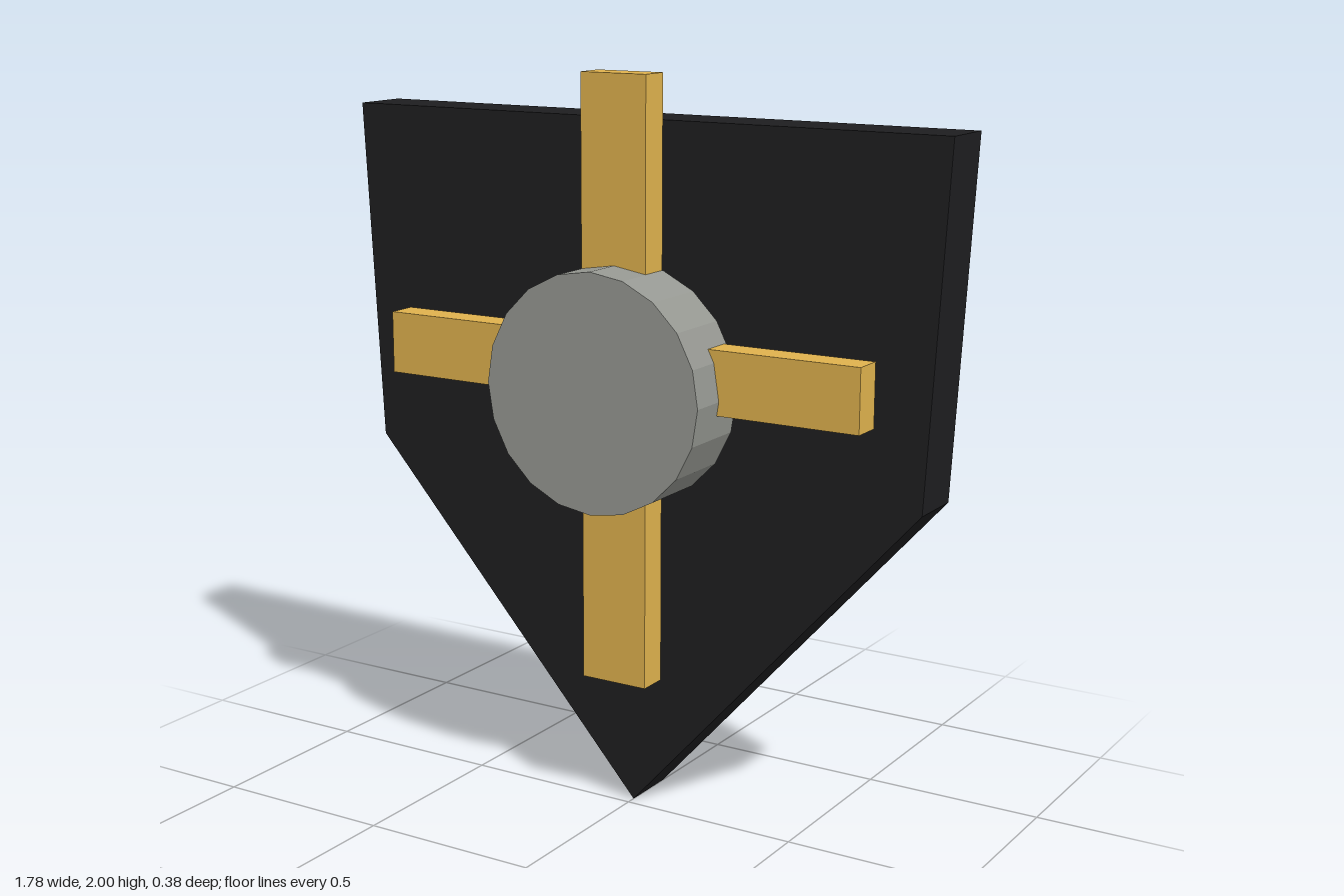
import * as THREE from 'three';

export function createModel() {
  const group = new THREE.Group();
  const add = (name, geometry, color, x, y, z) => {
    const material = new THREE.MeshStandardMaterial({ color, flatShading: true });
    const mesh = new THREE.Mesh(geometry, material);
    mesh.name = name;
    mesh.position.set(x, y, z);
    group.add(mesh);
    return mesh;
  };
  const black = 0x1e1e20, gold = 0xdfb24d, grey = 0x969892;

  // Five-sided backing plate, pointed at the bottom
  const outline = new THREE.Shape([
    [0, 0], [0.84, 0.94], [0.89, 1.88], [-0.89, 1.88], [-0.84, 0.94],
  ].map(([x, y]) => new THREE.Vector2(x, y)));
  const plate = new THREE.ExtrudeGeometry(outline, { depth: 0.16, bevelEnabled: false });
  add('backPlate', plate, black, 0, 0, -0.187);

  // Crossed bars running through the hub
  add('verticalBar', new THREE.BoxGeometry(0.195, 1.627, 0.083), gold, -0.002, 1.187, 0.03);
  add('horizontalBar', new THREE.BoxGeometry(1.432, 0.17, 0.083), gold, -0.002, 1.238, 0.04);

  // Faceted hub disc facing forward
  const hub = new THREE.CylinderGeometry(0.32, 0.32, 0.2, 20).rotateX(Math.PI / 2);
  add('hub', hub, grey, 0, 1.19, 0.088);

  return group;
}
